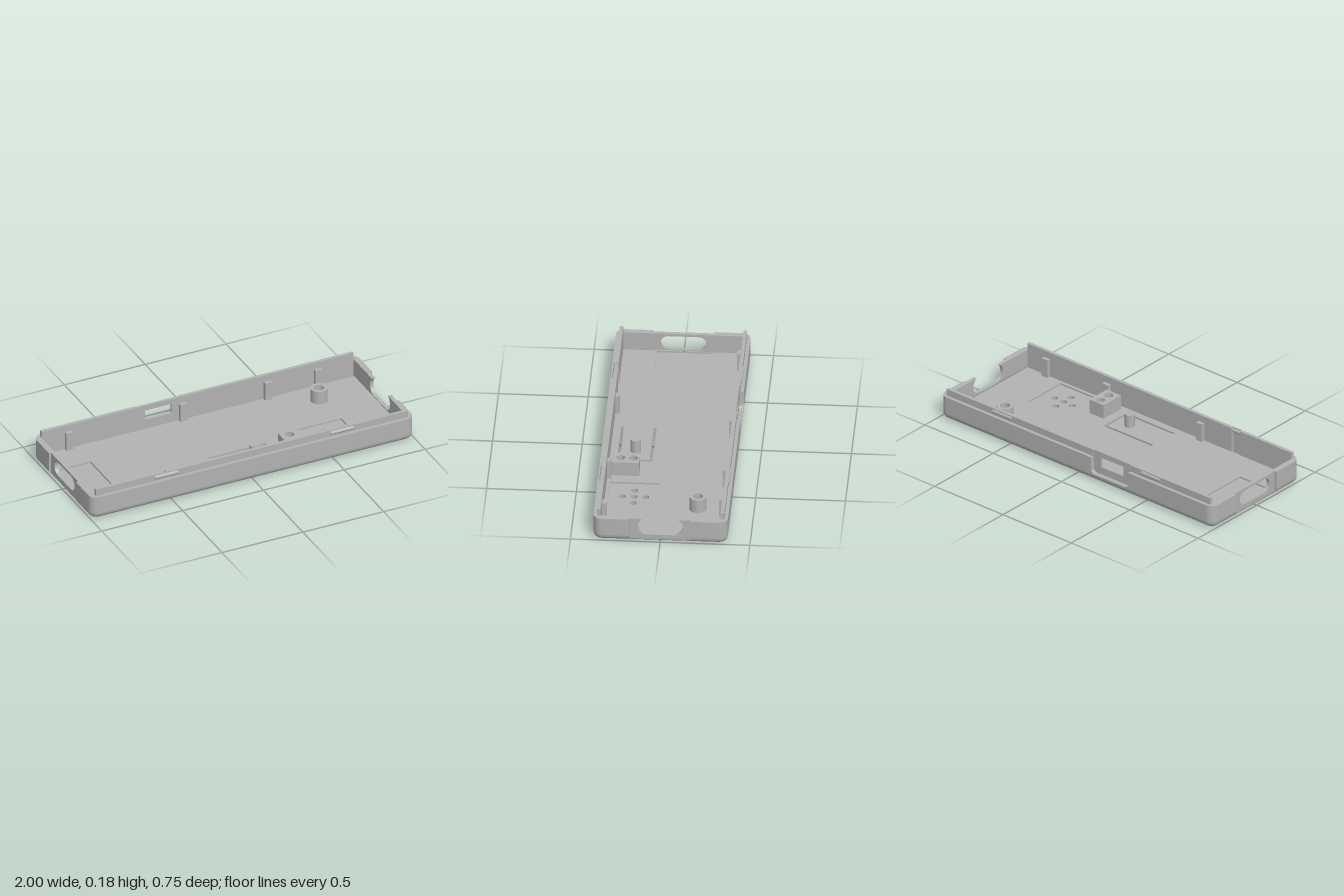
import * as THREE from 'three';
import { toCreasedNormals } from 'three/addons/utils/BufferGeometryUtils.js';

const HX = 1, HZ = 0.375, CORNER = 0.05, FILLET = 0.035;
const RIM = 0.14, LIP = 0.18, FLOOR = 0.03, MID = 0.02;
const INX = 0.965, INZ = 0.335, LIPZ = 0.355, RECESS_X = 0.987, RECESS_Z = 0.17;

const poly = pts => new THREE.Shape(pts.map(p => new THREE.Vector2(p[0], p[1])));
const rect = (x0, x1, y0, y1) => poly([[x0, y0], [x1, y0], [x1, y1], [x0, y1]]);
const circle = (x, y, r) => new THREE.Shape().absarc(x, y, r, 0, Math.PI * 2);
const withHoles = (shape, holes) => { shape.holes.push(...holes); return shape; };

// Extrude a front-facing (x, y) shape between two depths
function extrudeZ(shape, z0, z1) {
  const g = new THREE.ExtrudeGeometry(shape, { depth: z1 - z0, bevelEnabled: false, curveSegments: 24 });
  return toCreasedNormals(g.translate(0, 0, z0), 0.5);
}
// Extrude a plan (x, z) shape between two heights
function extrudeY(shape, y0, y1) {
  return extrudeZ(shape, 0, y1 - y0).rotateX(Math.PI / 2).translate(0, y1, 0);
}

// Plan outline of the case, inset by d, with the two end recesses
function outline(d) {
  const pts = [], ex = HX - d, rx = Math.min(ex, RECESS_X);
  const arc = (sx, sz, a0) => {
    for (let i = 0; i <= 8; i++) {
      const a = a0 + (i / 8) * Math.PI / 2;
      pts.push([sx * (HX - CORNER) + (CORNER - d) * Math.cos(a), sz * (HZ - CORNER) + (CORNER - d) * Math.sin(a)]);
    }
  };
  const end = s => pts.push([s * ex, -s * RECESS_Z], [s * rx, -s * RECESS_Z], [s * rx, s * RECESS_Z], [s * ex, s * RECESS_Z]);
  end(1);
  arc(1, 1, 0);
  arc(-1, 1, Math.PI / 2);
  end(-1);
  arc(-1, -1, Math.PI);
  arc(1, -1, Math.PI * 1.5);
  return pts;
}

// Rounded bottom edge lofted through inset outlines
function filletGeometry() {
  const pos = [], idx = [], rows = 8;
  let n = 0;
  for (let k = 0; k <= rows; k++) {
    const t = (k / rows) * Math.PI / 2;
    const loop = outline(FILLET * (1 - Math.sin(t)));
    n = loop.length;
    for (const [x, z] of loop) pos.push(x, FILLET * (1 - Math.cos(t)), z);
  }
  for (let k = 0; k < rows; k++) for (let i = 0; i < n; i++) {
    const a = k * n + i, b = k * n + (i + 1) % n;
    idx.push(a, a + n, b, b, a + n, b + n);
  }
  const g = new THREE.BufferGeometry();
  g.setAttribute('position', new THREE.Float32BufferAttribute(pos, 3));
  g.setIndex(idx);
  return toCreasedNormals(g, 0.6);
}

// Long panel with a round-cornered pocket open at the top
function pocketPanel(hx, y0, y1) {
  const a = -0.38, b = -0.11, bottom = 0.042, r = 0.025;
  const s = new THREE.Shape();
  s.moveTo(-hx, y0); s.lineTo(hx, y0); s.lineTo(hx, y1); s.lineTo(b, y1);
  s.lineTo(b, bottom + r); s.quadraticCurveTo(b, bottom, b - r, bottom);
  s.lineTo(a + r, bottom); s.quadraticCurveTo(a, bottom, a, bottom + r);
  s.lineTo(a, y1); s.lineTo(-hx, y1);
  return s;
}

export function createModel() {
  const group = new THREE.Group();
  const grey = new THREE.MeshStandardMaterial({ color: 0xb2b2b2 });
  grey.name = 'grey plastic';
  const add = (name, geometry) => {
    const m = new THREE.Mesh(geometry, grey);
    m.name = name;
    group.add(m);
    return m;
  };

  // Floor: lower and upper layers, so that shallow recesses show on each side
  const drilled = () => [
    circle(0.68, -0.19, 0.028), circle(0.31, 0.195, 0.025), circle(0.31, 0.265, 0.025)];
  const speaker = [[0, 0], [0.065, 0], [-0.065, 0], [0, 0.065], [0, -0.065]]
    .map(([x, z]) => circle(0.565 + x, 0.175 + z, 0.02));
  const flapSlot = poly([[-0.15, 0.095], [0.205, 0.095], [0.205, 0.292], [-0.15, 0.292],
    [-0.15, 0.277], [0.188, 0.277], [0.188, 0.112], [-0.15, 0.112]]);
  add('floorUnderside', extrudeY(withHoles(poly(outline(FILLET)),
    [...drilled(), ...speaker, rect(-0.15, 0.205, 0.095, 0.292)]), 0, MID));
  add('floorTop', extrudeY(withHoles(rect(-INX, INX, -0.34, 0.34),
    [...drilled(), flapSlot, rect(-0.962, -0.75, -0.155, 0.15), rect(0.43, 0.705, 0.04, 0.315)]), MID, FLOOR));
  add('bottomFillet', filletGeometry());

  // Four rounded corners of the outer wall
  for (const sx of [1, -1]) for (const sz of [1, -1]) {
    const pts = [[HX, RECESS_Z]];
    for (let i = 0; i <= 8; i++) {
      const a = (i / 8) * Math.PI / 2;
      pts.push([HX - CORNER + CORNER * Math.cos(a), HZ - CORNER + CORNER * Math.sin(a)]);
    }
    pts.push([HX - CORNER, INZ], [INX, INZ], [INX, RECESS_Z]);
    add('cornerWall', extrudeY(poly(pts.map(([x, z]) => [sx * x, sz * z])), FILLET, RIM));
  }

  // Front wall and lip, with a vertical groove inside
  const wallX = HX - CORNER;
  add('frontWall', extrudeZ(rect(-wallX, wallX, FILLET, RIM), LIPZ, HZ));
  add('frontLip', extrudeY(poly([[-INX, INZ], [-0.59, INZ], [-0.59, 0.35], [-0.53, 0.35], [-0.53, INZ],
    [INX, INZ], [INX, LIPZ], [-INX, LIPZ]]), MID, LIP));

  // Back wall and lip, with a connector pocket and slot
  add('backWall', extrudeZ(pocketPanel(wallX, FILLET, RIM), -HZ, -LIPZ));
  add('backLipOuter', extrudeZ(pocketPanel(INX, MID, LIP), -LIPZ, -0.35));
  add('backLip', extrudeZ(withHoles(rect(-INX, INX, MID, LIP), [rect(-0.325, -0.16, 0.088, 0.148)]), -0.35, -INZ));

  // Recessed end panels: closed oval at -x, open-topped oval at +x
  const endGeometry = shape => extrudeZ(shape, 0, RECESS_X - INX).rotateY(Math.PI / 2);
  const oval = new THREE.Shape();
  oval.absarc(0.0845, 0.0825, 0.0425, -Math.PI / 2, Math.PI / 2);
  oval.absarc(-0.0845, 0.0825, 0.0425, Math.PI / 2, Math.PI * 1.5);
  add('closedEndPanel', endGeometry(withHoles(rect(-RECESS_Z, RECESS_Z, FILLET, RIM), [oval])))
    .position.x = -RECESS_X;

  const r = 0.053, cy = 0.04 + r, cz = 0.127 - r, top = Math.asin((RIM - cy) / r);
  const open = new THREE.Shape();
  open.moveTo(-RECESS_Z, RIM);
  open.lineTo(-RECESS_Z, FILLET);
  open.lineTo(RECESS_Z, FILLET);
  open.lineTo(RECESS_Z, RIM);
  open.absarc(cz, cy, r, top, -Math.PI / 2, true);
  open.absarc(-cz, cy, r, -Math.PI / 2, -Math.PI - top, true);
  add('openEndPanel', endGeometry(open)).position.x = INX;

  // Snap beads on the lips
  for (const s of [1, -1]) for (const x of [-0.53, 0.555]) {
    const bead = new THREE.CylinderGeometry(0.012, 0.012, 0.14, 20).rotateZ(Math.PI / 2);
    add('snapBead', bead).position.set(x, 0.162, s * 0.352);
  }

  // Inner support ribs
  const ribs = [[-0.8, -1], [-0.095, -1], [0.43, -1], [0.74, -1], [-0.31, 1], [0.375, 1], [0.82, 1]];
  for (const [x, s] of ribs) {
    add('supportRib', new THREE.BoxGeometry(0.042, 0.115, 0.026)).position.set(x, 0.0825, s * 0.325);
  }

  // Screw boss, drilled block and flap button post
  add('screwBoss', extrudeY(withHoles(circle(0.68, -0.19, 0.048), [circle(0.68, -0.19, 0.028)]), FLOOR, 0.11));
  add('drilledBlock', extrudeY(withHoles(rect(0.257, 0.362, 0.16, 0.31), drilled().slice(1)), FLOOR, 0.115));
  add('buttonPost', new THREE.CylinderGeometry(0.029, 0.029, 0.078, 28)).position.set(0.095, 0.068, 0.195);

  return group;
}
